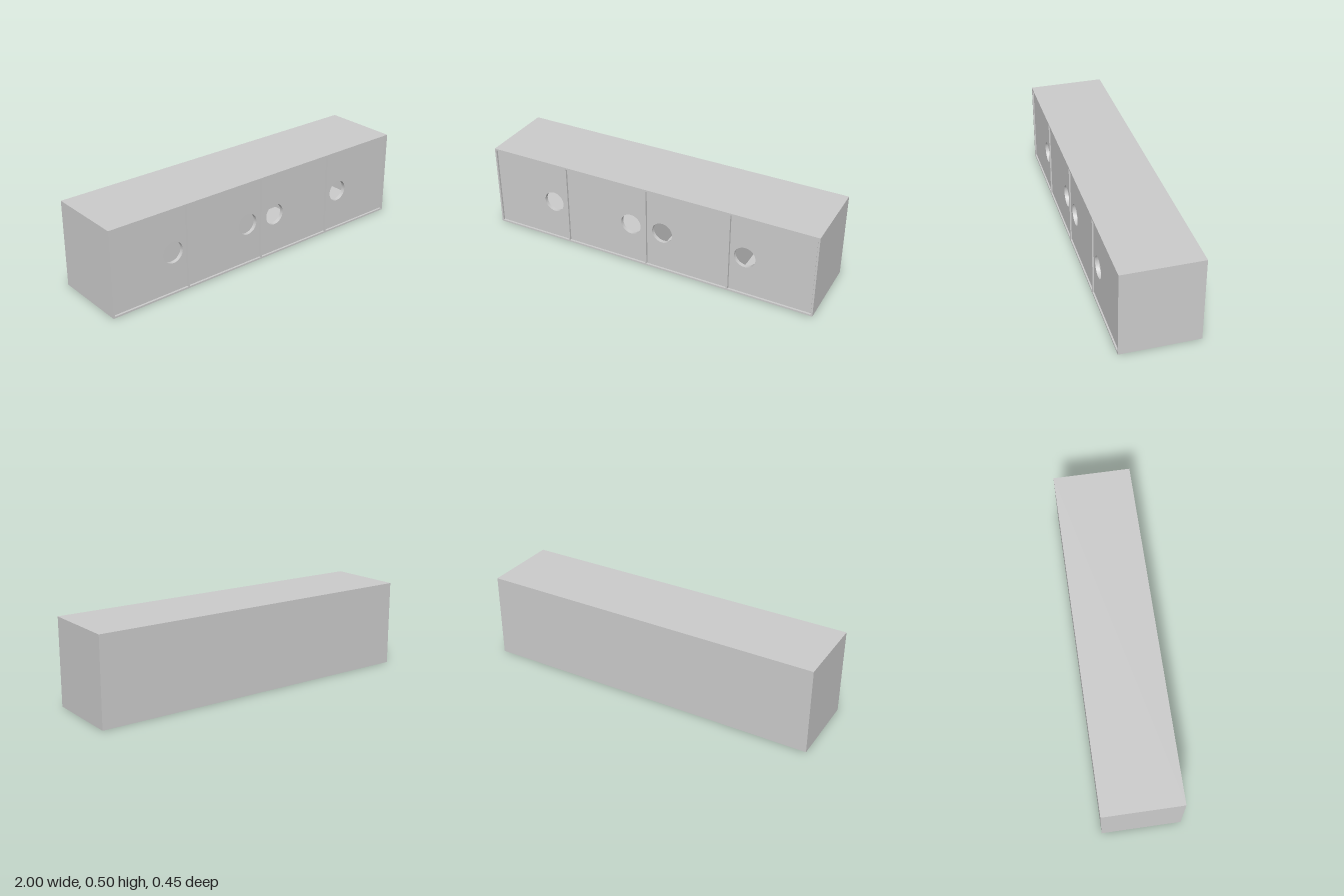
import * as THREE from 'three';

const W = 2, H = 0.502, D = 0.448, T = 0.01; // outer size and board thickness
const GAP = 0.003, RECESS = 0.008, DOOR_T = 0.022;

export function createModel() {
  const group = new THREE.Group();
  const material = new THREE.MeshStandardMaterial({ color: 0xcccccc, flatShading: true });

  const add = (name, geometry, x, y, z) => {
    const mesh = new THREE.Mesh(geometry, material);
    mesh.name = name;
    mesh.position.set(x, y, z);
    group.add(mesh);
  };
  const board = (name, w, h, d, x, y, z) => add(name, new THREE.BoxGeometry(w, h, d), x, y, z);

  // Carcass
  board('topPanel', W, T, D, 0, H - T / 2, 0);
  board('bottomPanel', W, T, D, 0, T / 2, 0);
  board('leftSide', T, H - 2 * T, D, W / 2 - T / 2, H / 2, 0);
  board('rightSide', T, H - 2 * T, D, -W / 2 + T / 2, H / 2, 0);
  board('backPanel', W - 2 * T, H - 2 * T, T, 0, H / 2, -D / 2 + T / 2);

  // Upright dividers between the compartments
  const dividers = [-0.517, -0.005, 0.5];
  for (const x of dividers) board('divider', T, H - 2 * T, D - T, x, H / 2, T / 2);

  // Inset doors, each with a round finger hole
  const edges = [-W / 2 + T / 2, ...dividers, W / 2 - T / 2];
  const holes = [-0.61, -0.1, 0.097, 0.595];
  const y0 = T + GAP, y1 = H - T - GAP;
  holes.forEach((hx, i) => {
    const x0 = edges[i] + T / 2 + GAP, x1 = edges[i + 1] - T / 2 - GAP;
    const shape = new THREE.Shape();
    shape.moveTo(x0, y0).lineTo(x1, y0).lineTo(x1, y1).lineTo(x0, y1).closePath();
    shape.holes.push(new THREE.Path().absarc(hx, 0.245, 0.062, 0, Math.PI * 2, true));
    const geometry = new THREE.ExtrudeGeometry(shape, { depth: DOOR_T, bevelEnabled: false, curveSegments: 32 });
    add('door', geometry, 0, 0, D / 2 - RECESS - DOOR_T);
  });

  return group;
}
